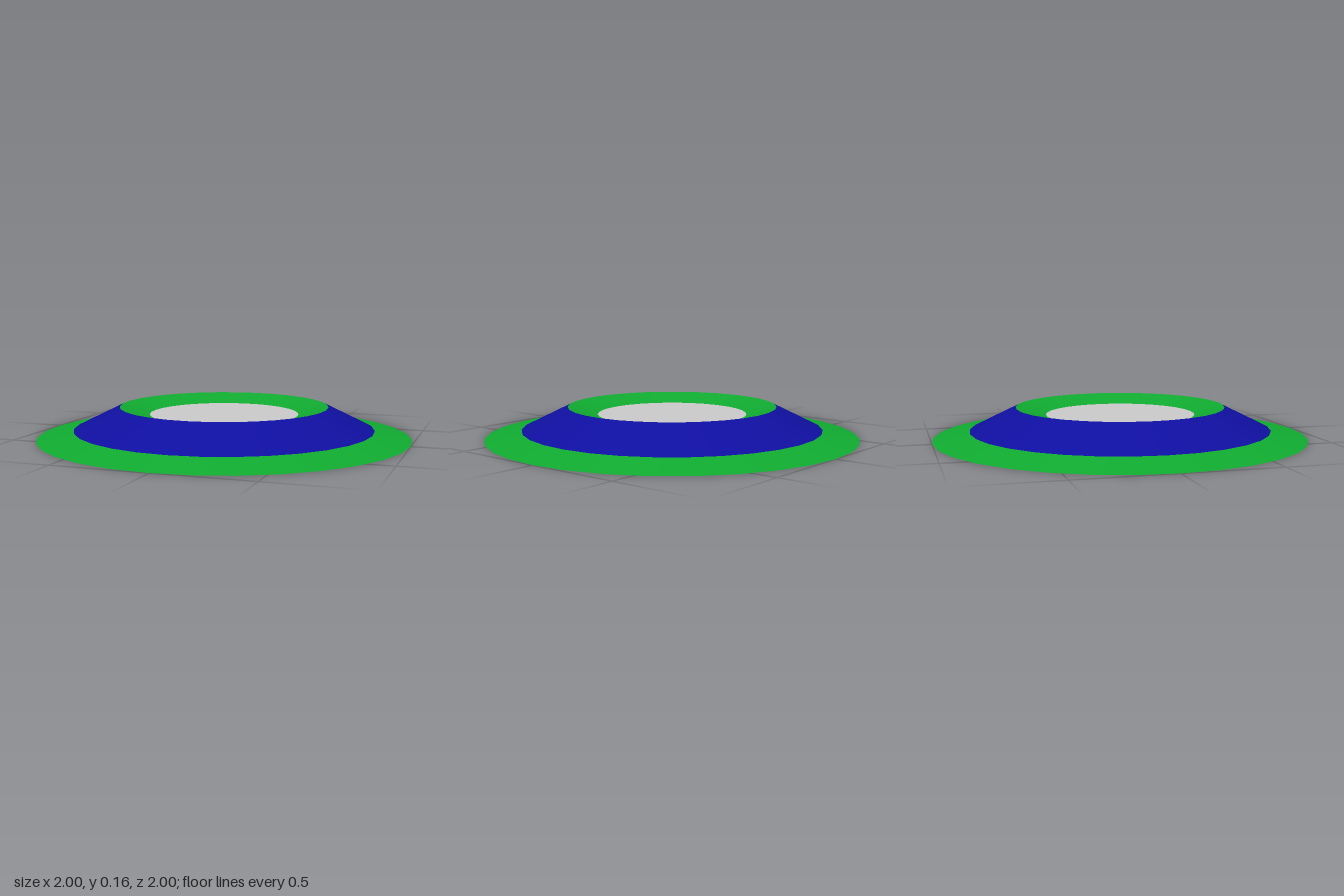
import * as THREE from 'three';

const SIDES = 32;

export function createModel() {
  const model = new THREE.Group();
  model.name = 'dishedDisc';

  const mat = (name, color) => {
    const m = new THREE.MeshStandardMaterial({ color });
    m.name = name;
    return m;
  };
  const green = mat('green', 0x10aa30);
  const blue = mat('blue', 0x0f0fa0);
  const grey = mat('lightGrey', 0xc8c8c8);
  const black = mat('black', 0x050505);

  const add = (name, geometry, material) => {
    const mesh = new THREE.Mesh(geometry, material);
    mesh.name = name;
    model.add(mesh);
    return mesh;
  };

  // Conical rings, from the outer edge up to the rim and down into the dish
  const ring = (name, r0, y0, r1, y1, material) =>
    add(name, new THREE.LatheGeometry(
      [new THREE.Vector2(r0, y0), new THREE.Vector2(r1, y1)], SIDES), material);
  ring('outerSkirt', 1, 0, 0.805, 0.043, green);
  ring('raisedBand', 0.805, 0.043, 0.56, 0.163, blue);
  ring('innerSlope', 0.56, 0.163, 0.4, 0.12, green);

  // Flat discs: sunken centre and underside
  const disc = (name, radius, y, tilt, material) => {
    const mesh = add(name, new THREE.CircleGeometry(radius, SIDES).rotateX(tilt), material);
    mesh.position.y = y;
  };
  disc('centreDisc', 0.4, 0.12, -Math.PI / 2, grey);
  disc('underside', 1, 0, Math.PI / 2, black);

  return model;
}
